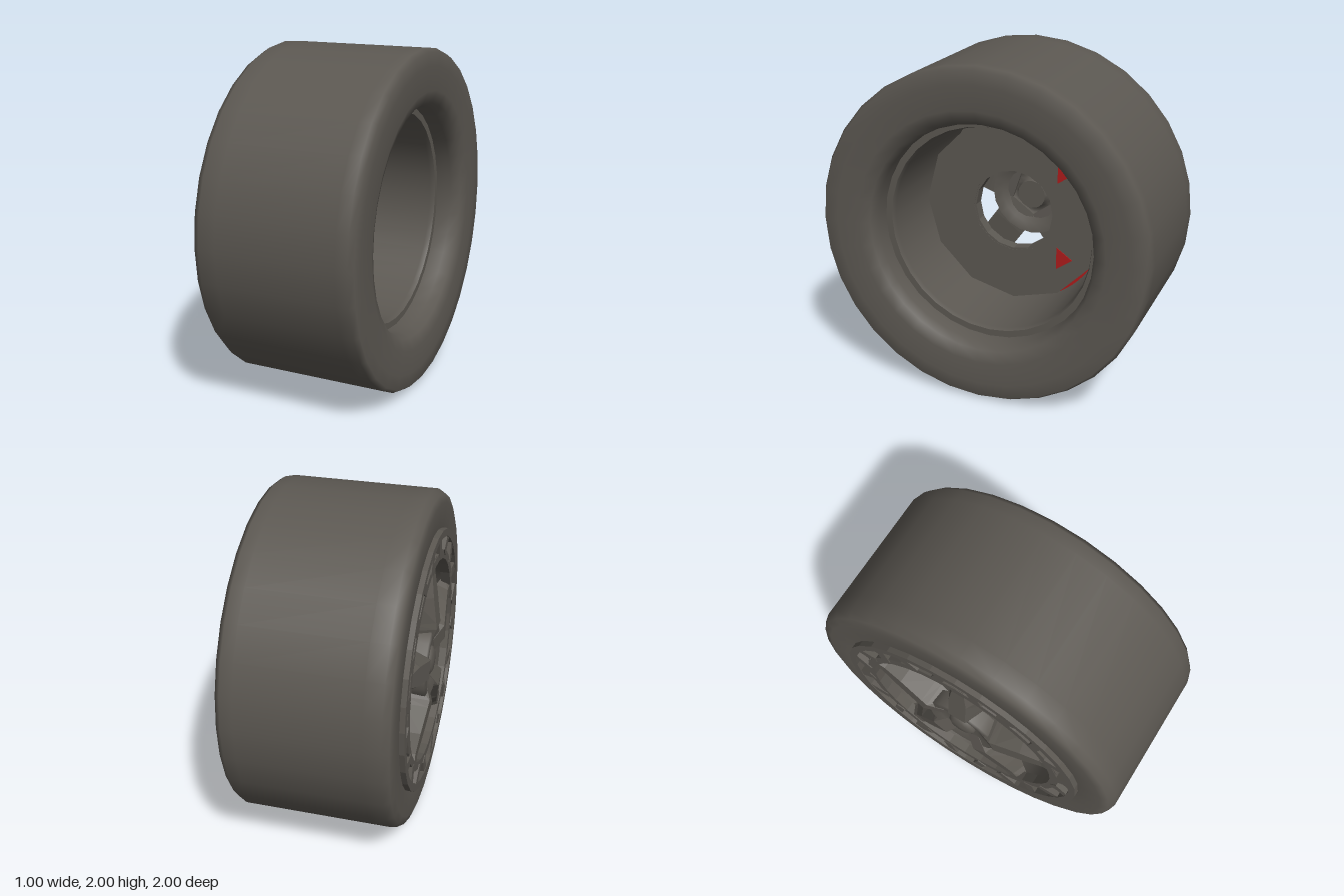
import * as THREE from 'three';

const rubber = new THREE.MeshStandardMaterial({ color: 0x5c5852, name: 'warmGrey' });
const metal = new THREE.MeshStandardMaterial({ color: 0x5c5852, name: 'rimGrey', side: THREE.DoubleSide });
const red = new THREE.MeshStandardMaterial({ color: 0xb01c1c, name: 'caliperRed' });

// Lathe about the x axle; points are [radius, x]
function turned(name, points, material, sides = 32) {
  const geo = new THREE.LatheGeometry(points.map(p => new THREE.Vector2(...p)), sides);
  geo.rotateZ(-Math.PI / 2);
  const mesh = new THREE.Mesh(geo, material);
  mesh.name = name;
  return mesh;
}

// Extrude a (-z, y) outline along x between two depths
function plate(name, shape, x0, x1, material, segments = 8) {
  const geo = new THREE.ExtrudeGeometry(shape, { depth: x1 - x0, bevelEnabled: false, curveSegments: segments });
  geo.translate(0, 0, x0);
  geo.rotateY(Math.PI / 2);
  const mesh = new THREE.Mesh(geo, material);
  mesh.name = name;
  return mesh;
}

function polygonPoints(r, n) {
  return Array.from({ length: n }, (_, i) => {
    const a = i / n * Math.PI * 2;
    return new THREE.Vector2(r * Math.cos(a), r * Math.sin(a));
  });
}

function ringShape(outer, inner, sides) {
  const shape = new THREE.Shape(polygonPoints(outer, sides));
  shape.holes.push(new THREE.Path(polygonPoints(inner, sides)));
  return shape;
}

function arcShape(inner, outer, half) {
  const shape = new THREE.Shape();
  shape.absarc(0, 0, outer, -half, half, false);
  shape.absarc(0, 0, inner, half, -half, true);
  return shape;
}

// Loft of trapezoid sections: [radius, half width, front x, back x]
function loft(sections) {
  const pos = [], idx = [];
  for (const [r, w, f, b] of sections)
    pos.push(b, r, -w * 1.3, f, r, -w * 0.65, f, r, w * 0.65, b, r, w * 1.3);
  for (let s = 0; s < sections.length - 1; s++)
    for (let k = 0; k < 4; k++) {
      const a = s * 4 + k, b = s * 4 + (k + 1) % 4;
      idx.push(a, b, a + 4, b, b + 4, a + 4);
    }
  const e = (sections.length - 1) * 4;
  idx.push(0, 2, 1, 0, 3, 2, e, e + 1, e + 2, e, e + 2, e + 3);
  const indexed = new THREE.BufferGeometry();
  indexed.setAttribute('position', new THREE.Float32BufferAttribute(pos, 3));
  indexed.setIndex(idx);
  const geo = indexed.toNonIndexed();
  geo.computeVertexNormals();
  return geo;
}

export function createModel() {
  const model = new THREE.Group();
  model.name = 'wheel';
  const wheel = new THREE.Group();
  wheel.name = 'wheelAssembly';
  wheel.position.y = 1;
  model.add(wheel);

  // Tyre: tread, both sidewalls and the rounded inner bead
  wheel.add(turned('tyre', [
    [0.76, -0.43], [0.79, -0.45], [0.93, -0.455], [0.975, -0.44], [1, -0.4],
    [1, -0.3], [1, 0.4], [1, 0.47], [0.98, 0.5], [0.9, 0.5], [0.76, 0.5], [0.69, 0.475], [0.665, 0.42], [0.665, 0.33],
  ], rubber));

  // Rim barrel with its inner step
  wheel.add(turned('rimStep', [[0.67, 0.33], [0.625, 0.33]], metal));
  wheel.add(turned('rimBarrel', [[0.625, 0.33], [0.615, 0.3], [0.615, -0.44]], metal));

  // Outer rim: floor, two hoops and slanted ribs between them
  wheel.add(plate('rimFloor', ringShape(0.78, 0.615, 32), -0.44, -0.42, metal));
  wheel.add(plate('outerHoop', ringShape(0.78, 0.735, 32), -0.478, -0.43, metal));
  wheel.add(plate('innerHoop', ringShape(0.655, 0.605, 32), -0.468, -0.41, metal));
  const ribs = 20;
  for (let i = 0; i < ribs; i++) {
    const rib = new THREE.Group();
    rib.name = 'rimRib';
    rib.rotation.x = (i + 0.5) / ribs * Math.PI * 2;
    const bar = new THREE.Mesh(new THREE.BoxGeometry(0.035, 0.13, 0.06), metal);
    bar.position.set(-0.456, 0.695, 0);
    bar.rotation.x = i % 2 ? 0.5 : -0.5;
    rib.add(bar);
    wheel.add(rib);
  }

  // Five spokes, highest beside the hub
  const spokeGeo = loft([
    [0.12, 0.07, -0.455, -0.38], [0.24, 0.085, -0.5, -0.36], [0.28, 0.085, -0.495, -0.36],
    [0.44, 0.085, -0.475, -0.37], [0.56, 0.06, -0.46, -0.39], [0.66, 0.06, -0.465, -0.42],
  ]);
  for (let i = 0; i < 5; i++) {
    const spoke = new THREE.Mesh(spokeGeo, metal);
    spoke.name = 'spoke';
    spoke.rotation.x = i / 5 * Math.PI * 2;
    wheel.add(spoke);
  }

  // Dished hub with centre cap, and its hollow back
  wheel.add(turned('hubFace', [[0, -0.45], [0.1, -0.45], [0.15, -0.46], [0.2, -0.48], [0.23, -0.47], [0.24, -0.38]], metal, 20));
  wheel.add(turned('centreCap', [[0, -0.485], [0.06, -0.48], [0.085, -0.465], [0.09, -0.44]], metal, 20));
  wheel.add(turned('hubBack', [[0.26, -0.34], [0.2, -0.35], [0.14, -0.4], [0.1, -0.4], [0.09, -0.34]], metal, 20));
  wheel.add(turned('axleEnd', [[0.09, -0.34], [0, -0.34]], metal, 20));

  // Brake disc
  wheel.add(plate('brakeDisc', ringShape(0.58, 0.265, 12), -0.1, -0.05, metal));
  wheel.add(plate('discCollar', ringShape(0.27, 0.25, 16), -0.12, -0.052, metal));

  // Caliper wrapped round the rear of the disc
  wheel.add(plate('caliper', arcShape(0.42, 0.578, 1.02), -0.3, -0.06, red, 12));
  wheel.add(plate('caliperBridge', arcShape(0.5, 0.61, 0.33), -0.29, -0.065, red, 6));

  // Caliper corners showing through the disc
  for (const y of [0.28, -0.27]) {
    const corner = new THREE.Shape([[0.28, y - 0.07], [0.38, y], [0.28, y + 0.07]].map(p => new THREE.Vector2(...p)));
    wheel.add(plate('caliperCorner', corner, -0.052, -0.045, red));
  }
  return model;
}
